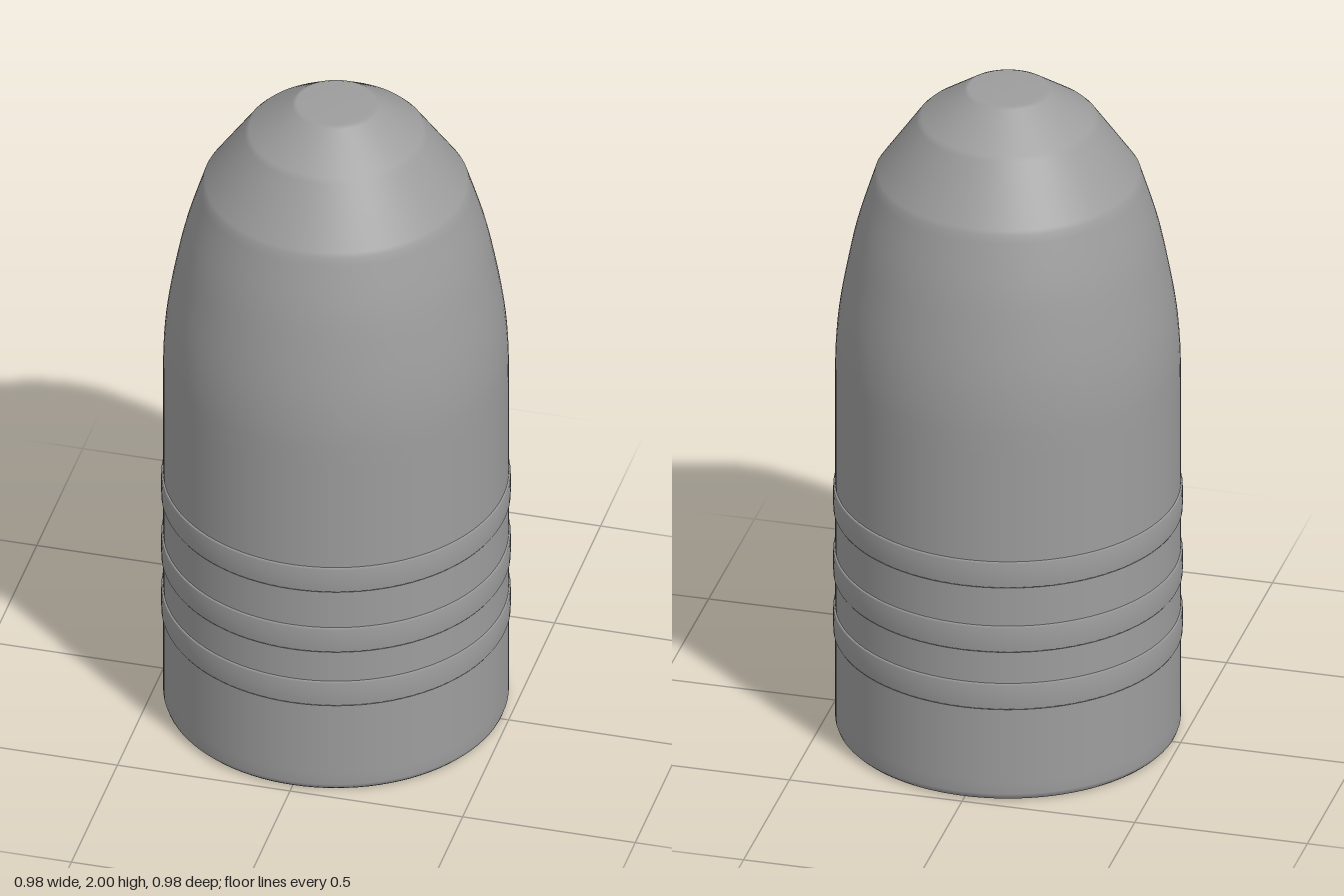
import * as THREE from 'three';

const SEGMENTS = 96;
const BODY_RADIUS = 0.484;

export function createModel() {
  const group = new THREE.Group();
  const material = new THREE.MeshStandardMaterial({ color: 0x9d9d9d });

  // Turn a profile of [radius, height] points around the y axis
  const turn = (name, profile) => {
    const points = profile.map(([r, y]) => new THREE.Vector2(r, y));
    const mesh = new THREE.Mesh(new THREE.LatheGeometry(points, SEGMENTS), material);
    mesh.name = name;
    group.add(mesh);
  };

  // Shallow hollow base: flat ceiling, filleted wall, then the rounded rim
  turn('hollowBase', [
    [0, 0.1], [0.36, 0.1], [0.395, 0.094], [0.418, 0.078], [0.431, 0.055],
    [0.44, 0.03], [0.446, 0.014], [0.454, 0.004], [0.463, 0],
    [0.473, 0.003], [0.48, 0.01], [BODY_RADIUS, 0.022], [BODY_RADIUS, 0.06],
  ]);

  // Straight body
  turn('body', [[BODY_RADIUS, 0.06], [BODY_RADIUS, 1.1]]);

  // Curved shoulder, two softly edged conical steps and the flat tip
  const shoulder = new THREE.SplineCurve([
    [BODY_RADIUS, 1.1], [0.482, 1.2], [0.472, 1.31], [0.452, 1.43],
    [0.422, 1.57], [0.374, 1.727],
  ].map(([r, y]) => new THREE.Vector2(r, y)));
  turn('nose', [
    ...shoulder.getPoints(24).map((p) => [p.x, p.y]),
    [0.366, 1.739], [0.256, 1.897], [0.243, 1.91],
    [0.123, 1.994], [0.11, 2], [0, 2],
  ]);

  // Three slightly raised bands, shaded as rounded by their shared normals
  [0.331, 0.512, 0.715].forEach((y, i) => {
    turn(`band${i + 1}`, [
      [0.42, y - 0.041], [0.486, y - 0.041], [0.489, y - 0.036],
      [0.49, y], [0.489, y + 0.036], [0.486, y + 0.041], [0.42, y + 0.041],
    ]);
  });

  return group;
}
